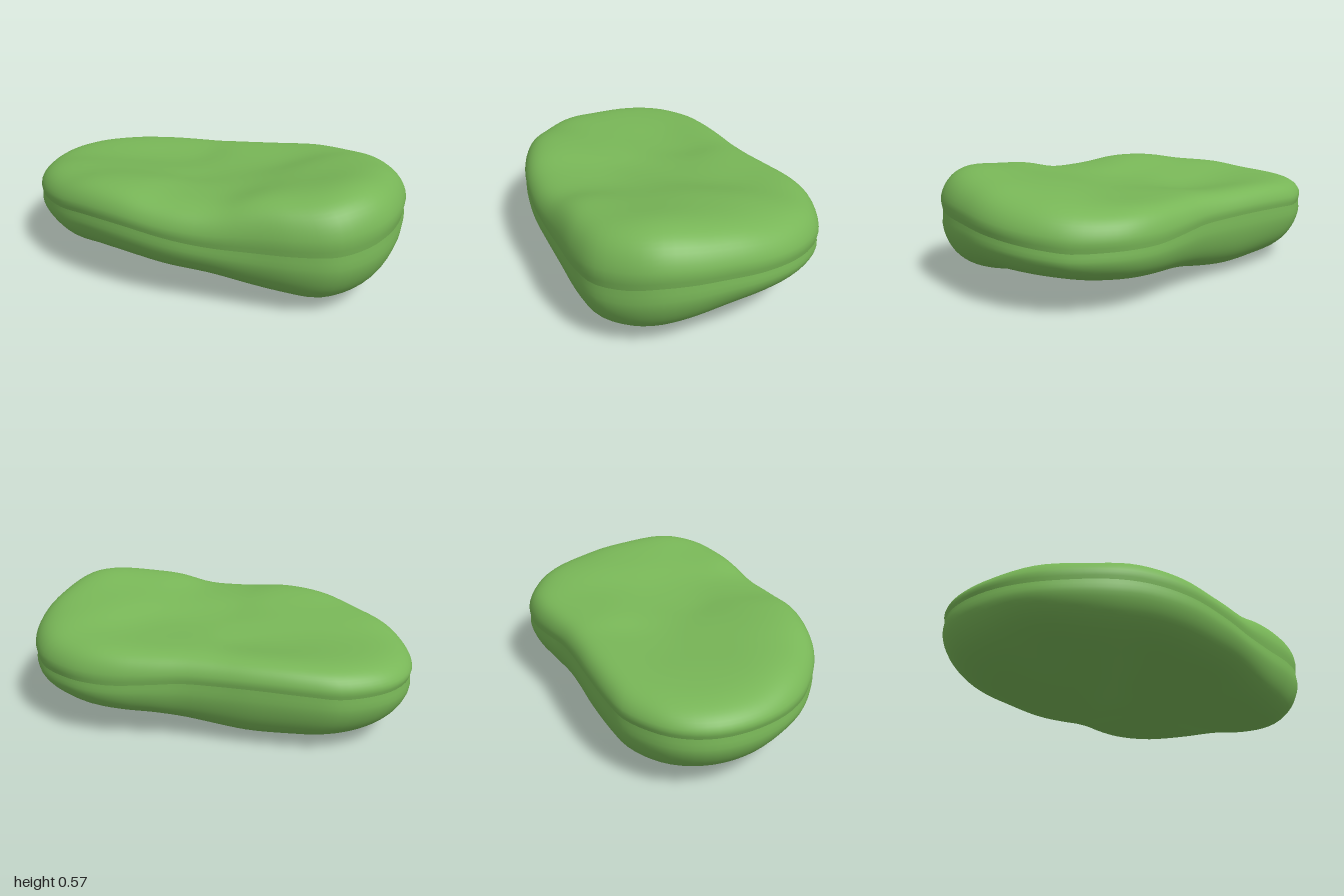
import * as THREE from 'three';

// Seam around the widest edge: x, seam height, z
const RIM = [
  [-1, 0.31, 0], [-0.98, 0.31, -0.12], [-0.92, 0.31, -0.23], [-0.77, 0.31, -0.36], [-0.64, 0.32, -0.41],
  [-0.4, 0.33, -0.47], [-0.2, 0.33, -0.51], [-0.05, 0.33, -0.55], [0.1, 0.32, -0.61], [0.27, 0.31, -0.67],
  [0.42, 0.31, -0.69], [0.55, 0.31, -0.67], [0.68, 0.31, -0.62], [0.77, 0.32, -0.55], [0.84, 0.33, -0.47],
  [0.9, 0.34, -0.37], [0.95, 0.35, -0.24], [0.98, 0.36, -0.1], [1, 0.365, 0.05], [0.995, 0.365, 0.2],
  [0.95, 0.345, 0.32], [0.85, 0.33, 0.45], [0.7, 0.325, 0.52], [0.5, 0.32, 0.57], [0.3, 0.32, 0.62],
  [0.12, 0.335, 0.66], [-0.12, 0.36, 0.68], [-0.35, 0.36, 0.66], [-0.54, 0.34, 0.61], [-0.76, 0.315, 0.48],
  [-0.86, 0.31, 0.38], [-0.93, 0.31, 0.27], [-0.98, 0.31, 0.14],
];

// Height samples of the dished top and the wavy underside: x, z, y
const TOP = [
  [-0.25, 0.48, 0.52], [0.15, 0.48, 0.485], [-0.6, 0.35, 0.475], [-0.87, 0.05, 0.44], [-0.72, -0.27, 0.445],
  [-0.4, -0.38, 0.46], [-0.35, -0.1, 0.41], [-0.3, 0.2, 0.46], [-0.65, 0, 0.43], [0.1, -0.45, 0.465],
  [0.05, 0, 0.44], [0.3, 0.15, 0.475], [0.25, -0.25, 0.465], [0.45, -0.58, 0.48], [0.75, -0.4, 0.515],
  [0.6, -0.15, 0.525], [0.83, -0.1, 0.575], [0.83, 0.2, 0.61], [0.6, 0.4, 0.55], [0.55, 0.12, 0.535],
];
const BOTTOM = [
  [-0.37, -0.1, -0.02], [-0.6, -0.05, 0.02], [-0.82, 0, 0.055], [-0.2, -0.25, 0.01], [-0.4, 0.2, 0.04],
  [-0.2, 0.48, 0.15], [-0.62, 0.35, 0.12], [0, -0.1, 0.05], [0, 0.25, 0.1], [0.25, 0.1, 0.11],
  [0.25, -0.2, 0.12], [0.5, 0.42, 0.07], [0.78, 0.3, 0.005], [0.78, 0.05, 0.06], [0.8, -0.22, 0.135],
  [0.6, -0.38, 0.14], [0.4, -0.52, 0.12], [0.15, -0.42, 0.12], [-0.12, -0.42, 0.08], [-0.5, -0.36, 0.06],
  [0.5, 0.15, 0.06], [0.2, 0.5, 0.13],
];

// Smooth Gaussian blend of the height samples
function heightAt(samples, x, z) {
  let sum = 0, weight = 0;
  for (const [px, pz, py] of samples) {
    const w = Math.exp(-((x - px) ** 2 + (z - pz) ** 2) / (2 * 0.15 ** 2)) + 1e-9;
    sum += w * py;
    weight += w;
  }
  return sum / weight;
}

// One half of the cushion: concentric loops from the seam to the centre
function halfShell(samples, fullness, up) {
  const SEGMENTS = 108, RINGS = 32;
  const curve = new THREE.CatmullRomCurve3(RIM.map((p) => new THREE.Vector3(...p)), true, 'centripetal');
  const rim = curve.getSpacedPoints(SEGMENTS).slice(0, SEGMENTS);
  const centreSeam = 0.33;
  const positions = [], indices = [];
  for (let r = 0; r < RINGS; r++) {
    const s = Math.cos((r / RINGS) * Math.PI / 2);
    const rise = Math.sqrt(Math.max(0, 1 - s ** fullness));
    const groove = 1.007 - 0.014 * Math.exp(-((rise / 0.16) ** 2)); // pinched seam line
    for (const p of rim) {
      const x = p.x * s * groove, z = p.z * s * groove;
      const seam = THREE.MathUtils.lerp(centreSeam, p.y, s);
      positions.push(x, seam + (heightAt(samples, x, z) - seam) * rise, z);
    }
  }
  positions.push(0, heightAt(samples, 0, 0), 0);
  const face = (a, b, c) => indices.push(...(up ? [a, b, c] : [a, c, b]));
  const centre = RINGS * SEGMENTS;
  for (let r = 0; r < RINGS; r++) {
    for (let i = 0; i < SEGMENTS; i++) {
      const j = (i + 1) % SEGMENTS;
      const a = r * SEGMENTS + i, b = r * SEGMENTS + j;
      if (r === RINGS - 1) {
        face(a, b, centre);
      } else {
        face(a, b, a + SEGMENTS);
        face(b, b + SEGMENTS, a + SEGMENTS);
      }
    }
  }
  // The rim runs clockwise from above, so a-b-inner faces up
  const geometry = new THREE.BufferGeometry();
  geometry.setAttribute('position', new THREE.Float32BufferAttribute(positions, 3));
  geometry.setIndex(indices);
  geometry.computeVertexNormals();
  return geometry;
}

export function createModel() {
  const group = new THREE.Group();
  group.name = 'beanCushion';
  const green = new THREE.MeshStandardMaterial({ color: 0x78b657 });
  green.name = 'leafGreen';

  const upper = new THREE.Mesh(halfShell(TOP, 11, false), green);
  upper.name = 'upperHalf';
  const lower = new THREE.Mesh(halfShell(BOTTOM, 8, true), green);
  lower.name = 'lowerHalf';
  group.add(upper, lower);

  // Rest the underside on the ground
  const lift = -new THREE.Box3().setFromObject(group).min.y;
  upper.position.y = lower.position.y = lift;
  return group;
}
